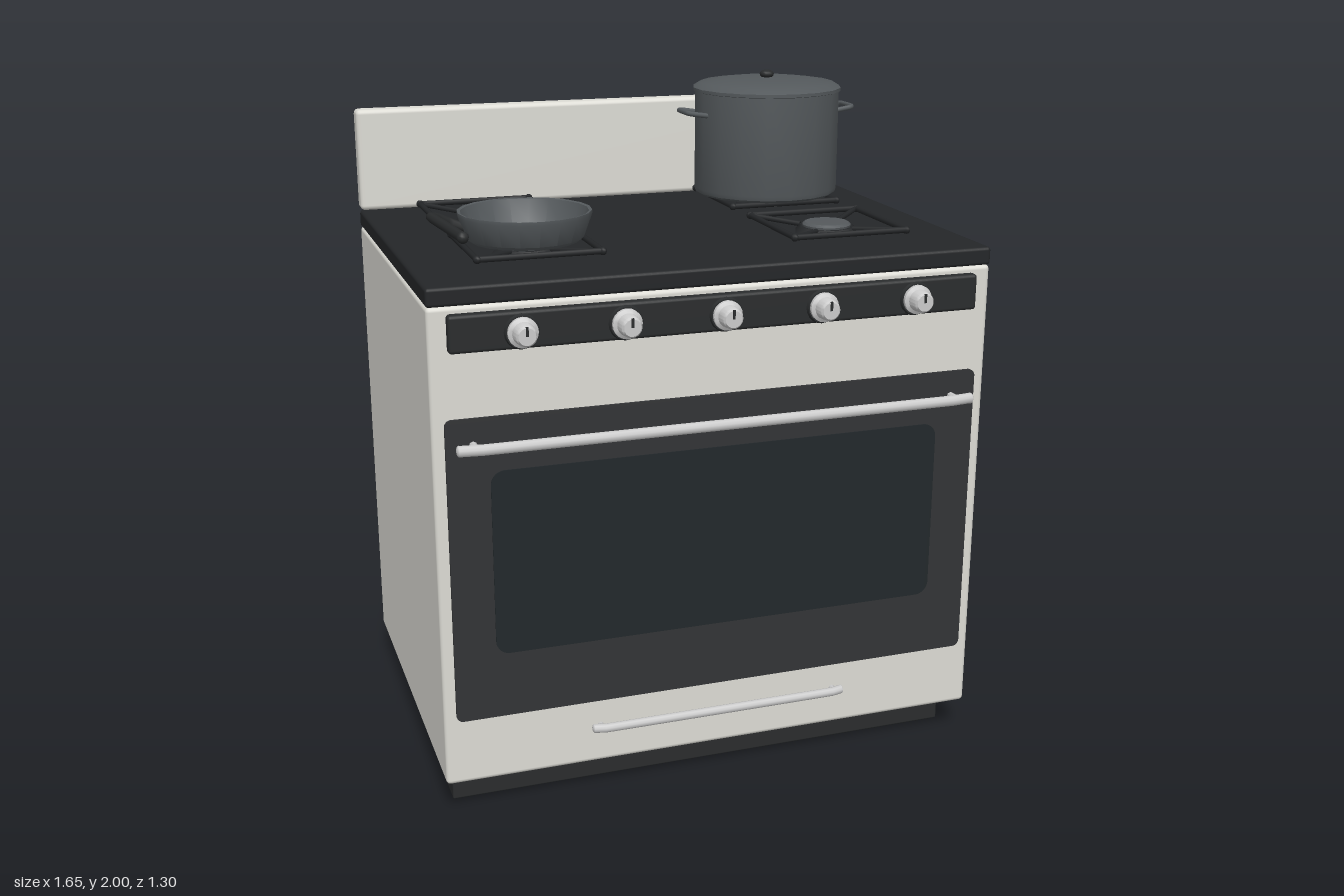
import * as THREE from 'three';
import { RoundedBoxGeometry } from 'three/addons/geometries/RoundedBoxGeometry.js';
import { toCreasedNormals } from 'three/addons/utils/BufferGeometryUtils.js';

const mat = (color, side = THREE.FrontSide) => new THREE.MeshStandardMaterial({ color, side });
const enamel = mat(0xdddcd5);
const black = mat(0x2a2c2d);
const iron = mat(0x242628);
const doorDark = mat(0x333436);
const glass = mat(0x22282b);
const steel = mat(0xbfc1c2);
const cap = mat(0x55595c);
const cookware = mat(0x54595c, THREE.DoubleSide);

function add(parent, name, geometry, material, x = 0, y = 0, z = 0) {
  const mesh = new THREE.Mesh(geometry, material);
  mesh.name = name;
  mesh.position.set(x, y, z);
  parent.add(mesh);
  return mesh;
}

function group(parent, name, x = 0, y = 0, z = 0) {
  const g = new THREE.Group();
  g.name = name;
  g.position.set(x, y, z);
  parent.add(g);
  return g;
}

// Softly rounded box given by its minimum and maximum corners
function block(parent, name, material, [x0, y0, z0], [x1, y1, z1], r = 0.01) {
  const geo = new RoundedBoxGeometry(x1 - x0, y1 - y0, z1 - z0, 2, r);
  return add(parent, name, geo, material, (x0 + x1) / 2, (y0 + y1) / 2, (z0 + z1) / 2);
}

// Flat front panel with rounded corners, facing +z
function panel(parent, name, material, w, y0, y1, z0, z1, r) {
  const x = w / 2;
  const s = new THREE.Shape();
  s.moveTo(-x + r, y0);
  s.lineTo(x - r, y0).absarc(x - r, y0 + r, r, -Math.PI / 2, 0);
  s.lineTo(x, y1 - r).absarc(x - r, y1 - r, r, 0, Math.PI / 2);
  s.lineTo(-x + r, y1).absarc(-x + r, y1 - r, r, Math.PI / 2, Math.PI);
  s.lineTo(-x, y0 + r).absarc(-x + r, y0 + r, r, Math.PI, Math.PI * 1.5);
  const geo = new THREE.ExtrudeGeometry(s, { depth: z1 - z0, bevelEnabled: false, curveSegments: 5 });
  return add(parent, name, geo, material, 0, 0, z0);
}

function lathe(points, segments) {
  const profile = points.map(([r, y]) => new THREE.Vector2(r, y));
  return toCreasedNormals(new THREE.LatheGeometry(profile, segments), 0.6);
}

function tube(points, r, sides = 8, tension = 0.1, steps = 24) {
  const curve = new THREE.CatmullRomCurve3(points.map(p => new THREE.Vector3(...p)), false, 'catmullrom', tension);
  return new THREE.TubeGeometry(curve, steps, r, sides);
}

// Straight bar between two points
function rod(parent, name, material, a, b, r, sides = 8) {
  const p = new THREE.Vector3(...a), q = new THREE.Vector3(...b);
  const mesh = add(parent, name, new THREE.CylinderGeometry(r, r, p.distanceTo(q), sides), material);
  mesh.position.copy(p).add(q).multiplyScalar(0.5);
  mesh.quaternion.setFromUnitVectors(new THREE.Vector3(0, 1, 0), q.sub(p).normalize());
}

// Slightly bowed bar on two short posts
function pullHandle(parent, name, half, y, zDoor, zBar, r) {
  const g = group(parent, name);
  const bow = 0.008;
  const pts = [[-half, y, zBar - bow], [-half * 0.9, y, zBar], [half * 0.9, y, zBar], [half, y, zBar - bow]];
  add(g, 'handleBar', tube(pts, r, 10), steel);
  for (const s of [-1, 1]) {
    const end = add(g, 'handleEnd', new THREE.SphereGeometry(r, 10, 8), steel, s * half, y, zBar - bow);
    end.scale.x = 0.5;
    rod(g, 'handlePost', steel, [s * half * 0.94, y, zDoor], [s * half * 0.94, y, zBar], r * 0.75);
  }
}

// Control knob with a dark collar and a pointer mark
function knob(parent, x) {
  const g = group(parent, 'controlKnob', x, 1.442, 0.545);
  add(g, 'knobCollar', new THREE.CylinderGeometry(0.046, 0.05, 0.01, 20), black, 0, 0, 0.005).rotation.x = Math.PI / 2;
  const dial = lathe([[0.042, 0], [0.042, 0.014], [0.032, 0.02], [0.029, 0.052], [0.024, 0.058], [0, 0.058]], 20);
  add(g, 'knobDial', dial, steel, 0, 0, 0.006).rotation.x = Math.PI / 2;
  add(g, 'knobMark', new THREE.BoxGeometry(0.007, 0.026, 0.004), black, 0, 0.014, 0.064);
}

// Burner: octagonal base, domed cap and a square grate with four diagonal arms
function burner(parent, x, z) {
  const g = group(parent, 'burner', x, 1.57, z);
  add(g, 'burnerBase', new THREE.CylinderGeometry(0.085, 0.1, 0.016, 8), iron, 0, 0.008, 0);
  add(g, 'burnerCap', lathe([[0.07, 0], [0.074, 0.02], [0.066, 0.027], [0, 0.029]], 14), cap, 0, 0.002, 0);
  const h = 0.178, y = 0.026;
  for (const s of [-1, 1]) {
    rod(g, 'grateRail', iron, [-h, y, s * h], [h, y, s * h], 0.009);
    rod(g, 'grateRail', iron, [s * h, y, -h], [s * h, y, h], 0.009);
    for (const t of [-1, 1]) {
      add(g, 'grateCorner', new THREE.SphereGeometry(0.012, 8, 6), iron, s * h, y, t * h);
      rod(g, 'grateArm', iron, [s * 0.06, 0.014, t * 0.06], [s * h, y, t * h], 0.008);
    }
  }
}

function fryingPan(parent) {
  const g = group(parent, 'fryingPan', -0.468, 1.605, 0.16);
  const bowl = [[0, 0], [0.155, 0], [0.168, 0.01], [0.192, 0.076], [0.192, 0.086], [0.183, 0.084],
    [0.16, 0.018], [0.15, 0.01], [0, 0.01]];
  add(g, 'panBowl', lathe(bowl, 20), cookware);
  // Side bracket bending into a long forward grip
  const path = [[-0.17, 0.042, -0.005], [-0.215, 0.06, -0.01], [-0.25, 0.078, 0.005], [-0.274, 0.088, 0.04],
    [-0.274, 0.102, 0.25], [-0.274, 0.117, 0.475]];
  add(g, 'panHandle', tube(path, 0.014, 8, 0.2, 30), black);
  add(g, 'panHandleEnd', new THREE.SphereGeometry(0.016, 10, 8), black, -0.274, 0.117, 0.475);
}

function stockPot(parent) {
  const g = group(parent, 'stockPot', 0.465, 1.605, -0.345);
  const wall = [[0, 0], [0.218, 0], [0.23, 0.008], [0.234, 0.022], [0.234, 0.33], [0.225, 0.33]];
  add(g, 'potWall', lathe(wall, 18), cookware);
  const lid = [[0.228, 0.328], [0.24, 0.332], [0.24, 0.342], [0.215, 0.357], [0.14, 0.367], [0, 0.372]];
  add(g, 'potLid', lathe(lid, 18), cookware);
  add(g, 'lidStem', new THREE.CylinderGeometry(0.01, 0.014, 0.014, 10), black, 0, 0.375, 0);
  const top = add(g, 'lidKnob', new THREE.SphereGeometry(0.023, 12, 8), black, 0, 0.381, 0);
  top.scale.y = 0.6;
  for (const s of [-1, 1]) {
    const loop = [[s * 0.22, 0.262, -0.056], [s * 0.272, 0.27, -0.056], [s * 0.285, 0.272, -0.04],
      [s * 0.285, 0.272, 0.04], [s * 0.272, 0.27, 0.056], [s * 0.22, 0.262, 0.056]];
    add(g, 'potHandle', tube(loop, 0.008), cookware);
  }
}

export function createModel() {
  const model = new THREE.Group();
  model.name = 'kitchenRange';

  // Cabinet, plinth, cooktop and backsplash
  block(model, 'plinth', black, [-0.79, 0, -0.625], [0.79, 0.112, 0.415], 0.005);
  block(model, 'cabinet', enamel, [-0.825, 0.112, -0.625], [0.825, 1.517, 0.522], 0.013);
  block(model, 'cooktop', iron, [-0.825, 1.517, -0.625], [0.825, 1.57, 0.524], 0.01);
  block(model, 'backsplash', enamel, [-0.825, 1.573, -0.647], [0.825, 1.892, -0.582], 0.015);

  // Control panel and knobs
  block(model, 'controlPanel', black, [-0.773, 1.393, 0.5], [0.773, 1.498, 0.547], 0.01);
  for (let i = -2; i <= 2; i++) knob(model, i * 0.288);

  // Oven door with window
  panel(model, 'ovenDoor', doorDark, 1.58, 0.312, 1.208, 0.51, 0.53, 0.02);
  panel(model, 'ovenWindow', glass, 1.34, 0.507, 1.053, 0.525, 0.533, 0.04);
  pullHandle(model, 'ovenHandle', 0.76, 1.132, 0.525, 0.574, 0.016);
  pullHandle(model, 'drawerHandle', 0.39, 0.23, 0.515, 0.547, 0.013);

  // Four burners, cookware on two of them
  for (const x of [-0.468, 0.465]) for (const z of [-0.345, 0.16]) burner(model, x, z);
  fryingPan(model);
  stockPot(model);

  return model;
}
